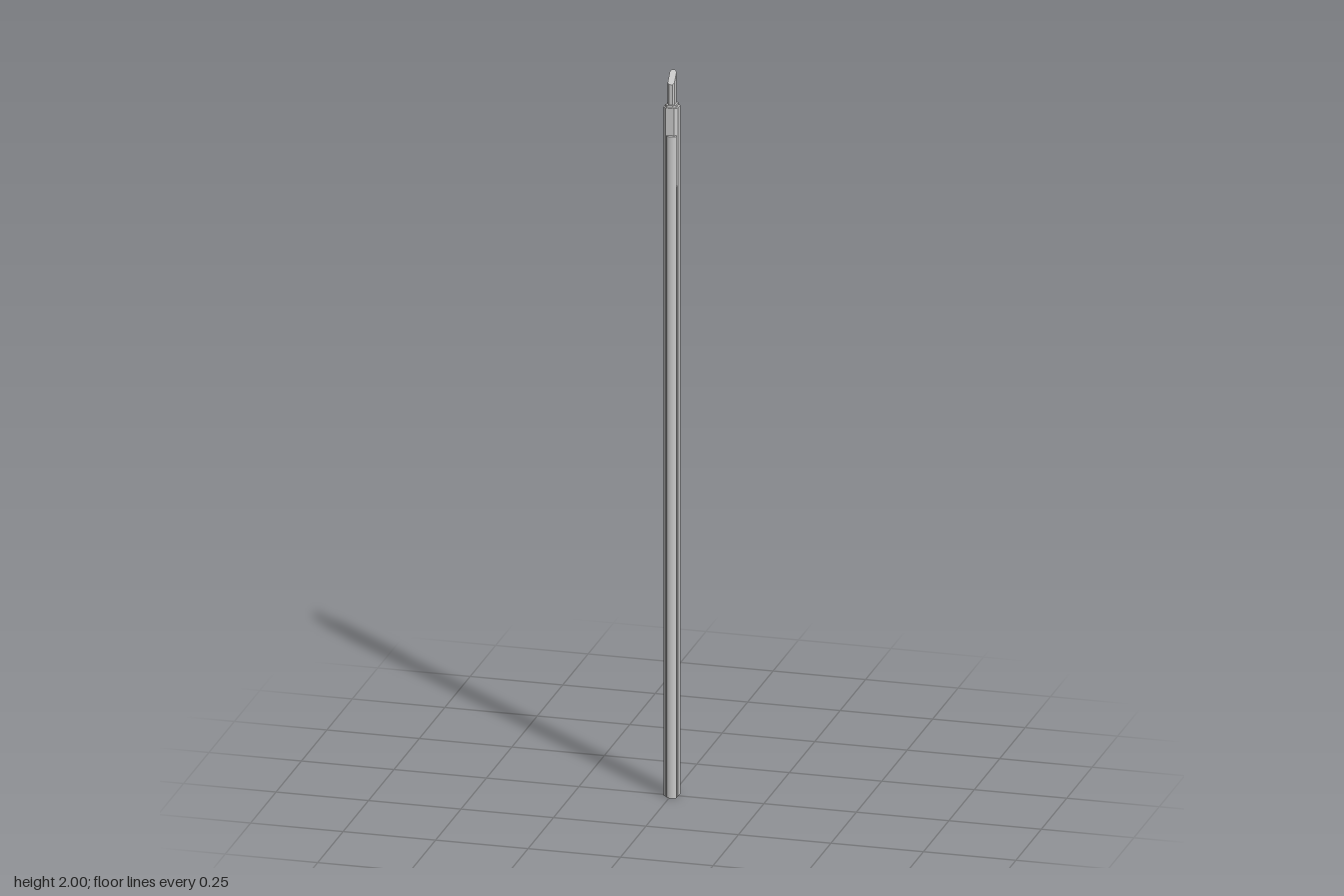
import * as THREE from 'three';

const material = new THREE.MeshStandardMaterial({ color: 0xcccccc, flatShading: true });

// Upright prism from an (x, z) outline, standing between y0 and y1
function prism(name, outline, y0, y1) {
  const shape = new THREE.Shape(outline.map(([x, z]) => new THREE.Vector2(x, -z)));
  const geo = new THREE.ExtrudeGeometry(shape, { depth: y1 - y0, bevelEnabled: false });
  geo.rotateX(-Math.PI / 2).translate(0, y0, 0);
  const mesh = new THREE.Mesh(geo, material);
  mesh.name = name;
  return mesh;
}

// Rectangle with cut corners, centred on (0, cz)
function octagon(hx, hz, cut, cz) {
  return [
    [hx, hz - cut], [hx - cut, hz], [cut - hx, hz], [-hx, hz - cut],
    [-hx, cut - hz], [cut - hx, -hz], [hx - cut, -hz], [hx, cut - hz],
  ].map(([x, z]) => [x, z + cz]);
}

function ellipse(cx, cz, rx, rz, n) {
  return Array.from({ length: n }, (_, i) => {
    const a = (i / n) * Math.PI * 2;
    return [cx + rx * Math.cos(a), cz + rz * Math.sin(a)];
  });
}

export function createModel() {
  const model = new THREE.Group();
  model.name = 'pole';
  const cz = -0.006;

  // Main shaft with a shallow stepped top
  model.add(prism('shaft', octagon(0.0195, 0.0205, 0.008, cz), 0, 1.905));
  model.add(prism('collar', octagon(0.014, 0.018, 0.006, cz), 1.905, 1.912));

  // Tip with its top cut at a slant, highest at the back
  const tip = prism('slantedTip', octagon(0.009, 0.0145, 0.004, cz - 0.001), 1.9, 2);
  const pos = tip.geometry.attributes.position;
  for (let i = 0; i < pos.count; i++) {
    if (pos.getY(i) > 1.95) pos.setY(i, 2 - (pos.getZ(i) + 0.0215) * 1.1);
  }
  tip.geometry.computeVertexNormals();
  model.add(tip);

  // Slim side rod along the front, joined to the shaft by a web lower down
  model.add(prism('sideRod', ellipse(0.005, 0.0165, 0.014, 0.009, 16), 0, 1.83));
  model.add(prism('web', [[-0.009, 0.016], [0.019, 0.016], [0.019, 0.004], [-0.009, 0.004]], 0, 1.69));

  return model;
}
